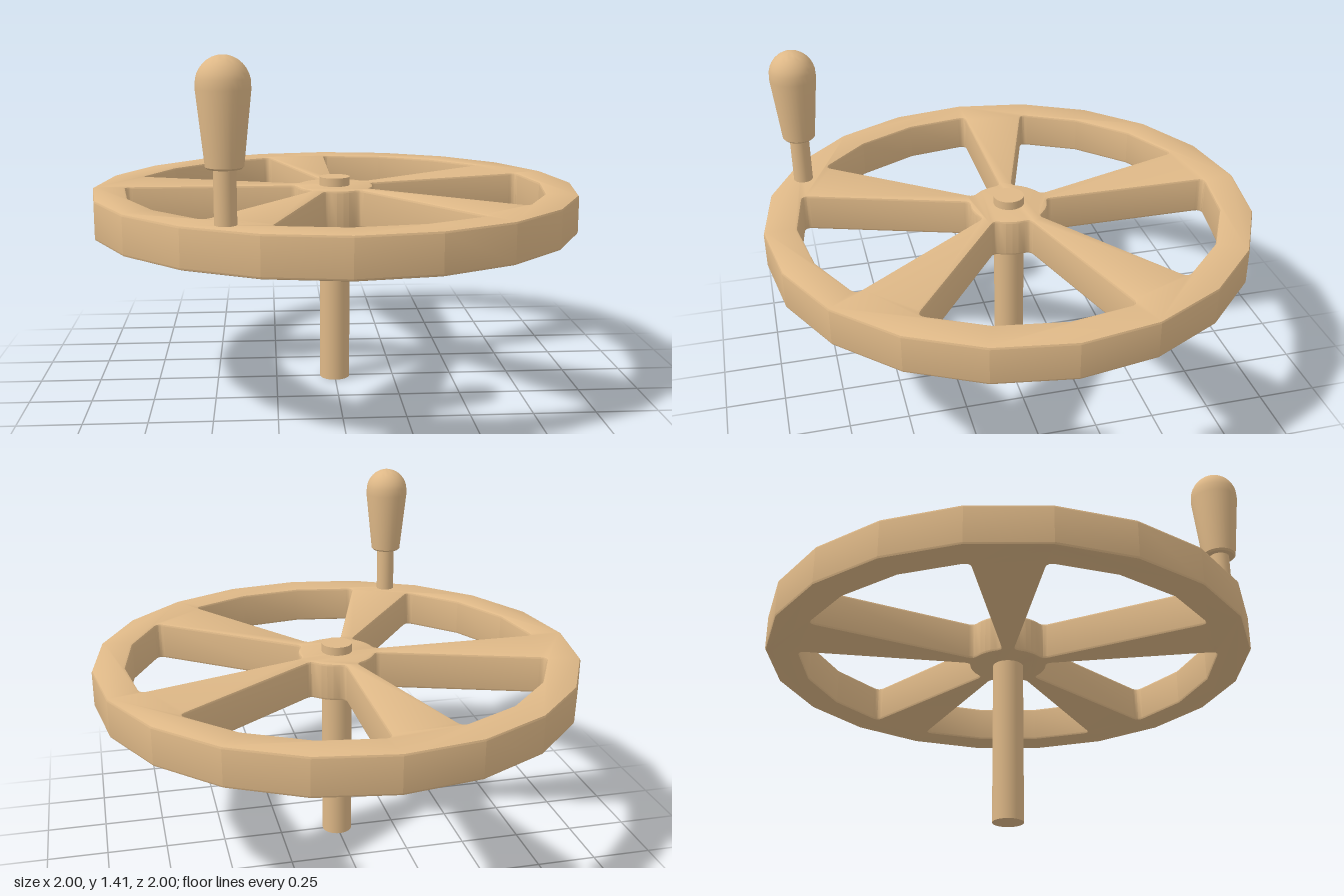
import * as THREE from 'three';
import { toCreasedNormals } from 'three/addons/utils/BufferGeometryUtils.js';

const DEG = Math.PI / 180;
const RIM = 1, INNER = 0.867, HUB = 0.16, BEVEL = 0.01;
const BOTTOM = 0.675, HEIGHT = 0.16;

const polar = (r, deg) => [r * Math.cos(deg * DEG), r * Math.sin(deg * DEG)];

// Window between two spokes: three rim facets outside, the hub arc inside, filleted corners
function windowPath(start) {
  const end = start + 54;
  const p = new THREE.Path();
  p.moveTo(...polar(INNER - 0.03, start));
  p.quadraticCurveTo(...polar(INNER, start), ...polar(INNER - 0.004, start + 2));
  p.lineTo(...polar(INNER, start + 18));
  p.lineTo(...polar(INNER, start + 36));
  p.lineTo(...polar(INNER - 0.004, end - 2));
  p.quadraticCurveTo(...polar(INNER, end), ...polar(INNER - 0.03, end));
  p.lineTo(...polar(HUB + 0.025, end));
  p.quadraticCurveTo(...polar(HUB, end), ...polar(HUB, end - 9));
  for (let i = 1; i <= 4; i++) p.lineTo(...polar(HUB, end - 9 - i * 9));
  p.quadraticCurveTo(...polar(HUB, start), ...polar(HUB + 0.025, start));
  p.closePath();
  return p;
}

// Rim, tapering spokes and hub cut from one twenty-sided plate
function wheelGeometry() {
  const shape = new THREE.Shape();
  for (let i = 0; i < 20; i++) {
    const v = polar(RIM, i * 18);
    if (i) shape.lineTo(...v); else shape.moveTo(...v);
  }
  shape.closePath();
  for (let i = 0; i < 5; i++) shape.holes.push(windowPath(36 + i * 72));
  const geo = new THREE.ExtrudeGeometry(shape, {
    depth: HEIGHT - 2 * BEVEL, curveSegments: 4,
    bevelEnabled: true, bevelSize: BEVEL, bevelThickness: BEVEL,
    bevelOffset: -BEVEL, bevelSegments: 2,
  });
  geo.rotateX(-Math.PI / 2);
  geo.translate(0, BOTTOM + BEVEL, 0);
  return toCreasedNormals(geo, 0.4);
}

// Tapered grip with a domed top
function gripGeometry() {
  const pts = [[0, 1.03], [0.06, 1.03], [0.067, 1.037], [0.095, 1.3]];
  for (let i = 1; i <= 8; i++) {
    const a = (i / 8) * Math.PI / 2;
    pts.push([i === 8 ? 0 : 0.095 * Math.cos(a), 1.315 + 0.1 * Math.sin(a)]);
  }
  const geo = new THREE.LatheGeometry(pts.map(([x, y]) => new THREE.Vector2(x, y)), 32);
  return toCreasedNormals(geo, 0.6);
}

export function createModel() {
  const model = new THREE.Group();
  model.name = 'handwheel';
  const material = new THREE.MeshStandardMaterial({ color: 0xdeb887 });

  const add = (parent, name, geometry, y = 0) => {
    const mesh = new THREE.Mesh(geometry, material);
    mesh.name = name;
    mesh.position.y = y;
    parent.add(mesh);
  };

  add(model, 'wheel', wheelGeometry());
  add(model, 'shaft', new THREE.CylinderGeometry(0.063, 0.063, 0.87, 32), 0.435);

  // Crank handle standing on the rim
  const handle = new THREE.Group();
  handle.name = 'handle';
  handle.position.set(-0.427, 0, 0.805);
  add(handle, 'handlePin', new THREE.CylinderGeometry(0.04, 0.04, 0.3, 24), 0.9);
  add(handle, 'handleGrip', gripGeometry());
  model.add(handle);

  return model;
}
